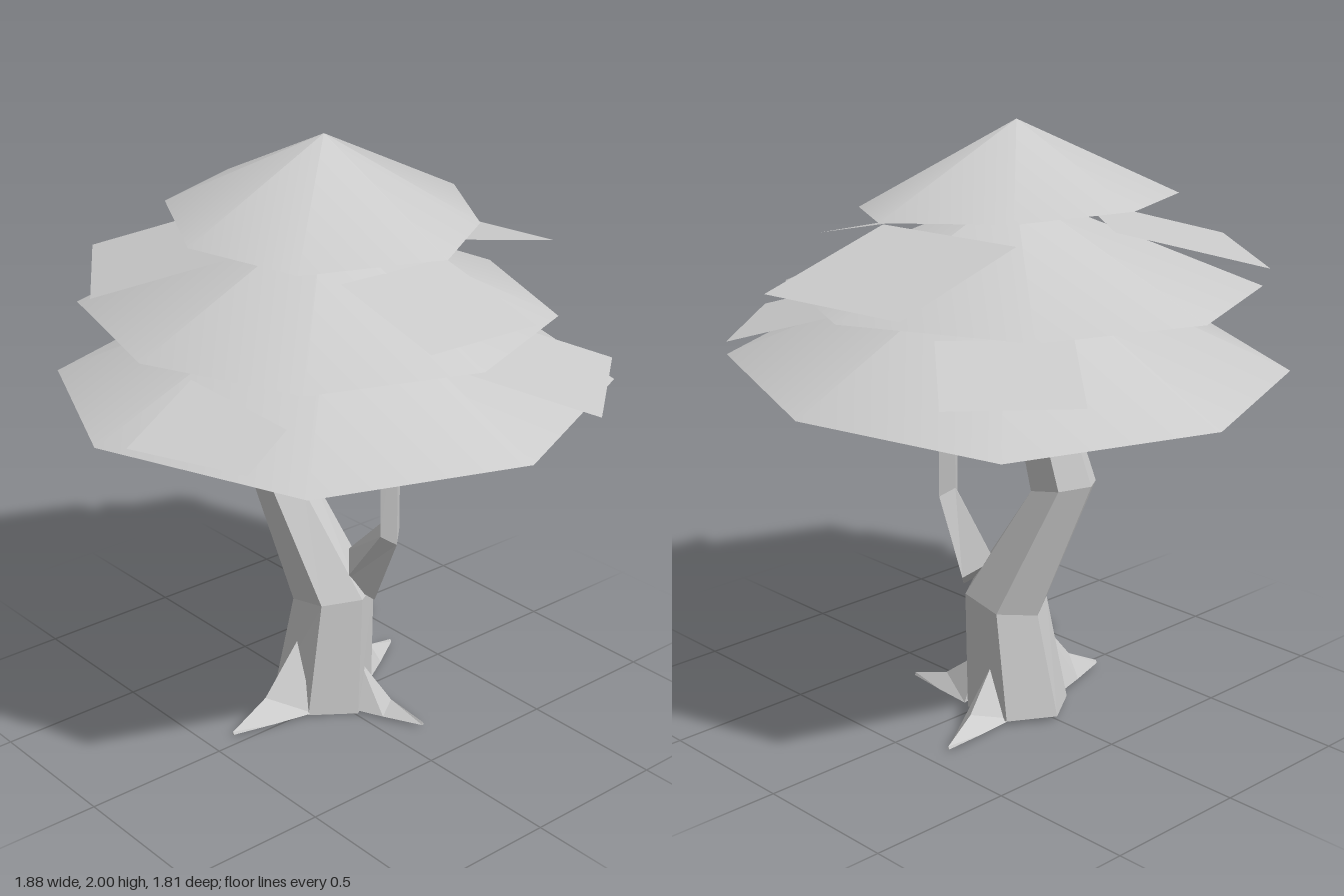
import * as THREE from 'three';

const bark = new THREE.MeshStandardMaterial({ color: 0xcccccc, flatShading: true, side: THREE.DoubleSide });
const leaf = new THREE.MeshStandardMaterial({ color: 0xcccccc, side: THREE.DoubleSide });

// Closed skin through a list of equal-length rings of [x, y, z] points
function loft(rings) {
  const n = rings[0].length, last = (rings.length - 1) * n, index = [];
  for (let j = 0; j < rings.length - 1; j++) {
    for (let i = 0; i < n; i++) {
      const a = j * n + i, b = j * n + (i + 1) % n;
      index.push(a, b, b + n, a, b + n, a + n);
    }
  }
  for (let i = 1; i < n - 1; i++) index.push(0, i + 1, i, last, last + i, last + i + 1);
  const g = new THREE.BufferGeometry();
  g.setAttribute('position', new THREE.Float32BufferAttribute(rings.flat(2), 3));
  g.setIndex(index);
  g.computeVertexNormals();
  return g;
}

// Regular ring around a centre; slope tilts it along x
function ring(sides, [x, y, z], rx, rz, slope = 0) {
  return Array.from({ length: sides }, (_, i) => {
    const a = (i / sides) * Math.PI * 2, dx = rx * Math.cos(a);
    return [x + dx, y + slope * dx, z - rz * Math.sin(a)];
  });
}

// Triangular buttress that tapers from the trunk to a tip on the ground
function root([x0, z0], [x1, z1], height) {
  const len = Math.hypot(x1 - x0, z1 - z0);
  const sx = (z1 - z0) / len, sz = -(x1 - x0) / len;
  const section = (t, w, h) => {
    const x = x0 + (x1 - x0) * t, z = z0 + (z1 - z0) * t;
    return [[x - sx * w, 0.01, z - sz * w], [x + sx * w, 0.01, z + sz * w], [x, h, z]];
  };
  return loft([section(0, 0.08, height), section(0.5, 0.045, height * 0.36), section(1, 0.004, 0.02)]);
}

// Open eight-sided cone whose rim follows the given [x, z] points on a tilted plane
function foliage(apex, rim, y, slope) {
  const g = new THREE.ConeGeometry(0.9, 0.38, 8, 1, true), p = g.attributes.position;
  for (let i = 0; i <= 8; i++) {
    const [x, z] = rim[i % 8];
    p.setXYZ(i, ...apex);
    p.setXYZ(i + 9, x, y + slope * x, z);
  }
  return g;
}

// Flat leaf sheet: outer edge a-b, rising inward towards the trunk
function sheet([ax, az], [bx, bz], yOuter, length, yInner) {
  const w = Math.hypot(bx - ax, bz - az);
  let nx = (bz - az) / w, nz = -(bx - ax) / w;
  if (nx * (ax + bx) + nz * (az + bz) > 0) { nx = -nx; nz = -nz; }
  const g = new THREE.PlaneGeometry(1, 1), p = g.attributes.position;
  p.setXYZ(0, ax + nx * length, yInner, az + nz * length);
  p.setXYZ(1, bx + nx * length, yInner, bz + nz * length);
  p.setXYZ(2, ax, yOuter, az);
  p.setXYZ(3, bx, yOuter, bz);
  g.computeVertexNormals();
  return g;
}

export function createModel() {
  const tree = new THREE.Group();
  tree.name = 'tree';
  const add = (name, geometry, material) => {
    const mesh = new THREE.Mesh(geometry, material);
    mesh.name = name;
    tree.add(mesh);
  };

  // Crooked trunk and the thin side branch
  add('trunk', loft([
    ring(6, [-0.07, 0.01, -0.01], 0.19, 0.165, -0.05),
    ring(6, [-0.04, 0.4, -0.035], 0.15, 0.135, 0.2),
    ring(6, [-0.225, 0.815, 0.045], 0.125, 0.1, -0.22),
    ring(6, [-0.07, 1.3, 0.02], 0.095, 0.07, -0.1),
  ]), bark);
  add('sideBranch', loft([
    ring(4, [0.035, 0.475, -0.09], 0.075, 0.075, -0.85),
    ring(4, [0.205, 0.705, -0.07], 0.035, 0.042, -0.85),
    ring(4, [0.205, 1.21, -0.07], 0.036, 0.042),
  ]), bark);

  // Roots
  add('frontRoot', root([-0.05, 0.12], [-0.04, 0.41], 0.26), bark);
  add('leftRoot', root([0.06, -0.07], [0.33, -0.12], 0.16), bark);
  add('backRoot', root([-0.08, -0.14], [-0.17, -0.42], 0.19), bark);

  // Foliage tiers, rims listed from the front round to the left
  add('lowerFoliage', foliage([0, 1.6, 0], [[-0.04, 0.9], [0.69, 0.68], [0.94, 0.04], [0.62, -0.66],
    [-0.06, -0.91], [-0.72, -0.71], [-0.94, -0.03], [-0.69, 0.61]], 1.207, 0.029), leaf);
  add('middleFoliage', foliage([-0.02, 1.77, 0.02], [[0.01, 0.76], [0.53, 0.56], [0.73, 0.04], [0.53, -0.48],
    [-0.02, -0.72], [-0.58, -0.44], [-0.78, 0.08], [-0.58, 0.59]], 1.455, 0.005), leaf);
  add('upperFoliage', foliage([-0.08, 2, -0.03], [[-0.06, 0.52], [0.3, 0.39], [0.45, -0.07], [0.27, -0.38],
    [-0.05, -0.57], [-0.44, -0.39], [-0.58, -0.03], [-0.44, 0.33]], 1.74, -0.068), leaf);

  // Loose leaf sheets resting on the tiers
  [
    [[-0.38, -0.78], [0.15, -0.85], 1.54, 0.53, 1.665],
    [[0.71, -0.19], [0.69, 0.22], 1.545, 0.42, 1.645],
    [[-0.75, 0.41], [-0.3, 0.72], 1.565, 0.49, 1.695],
    [[-0.51, -0.75], [-0.78, -0.43], 1.3, 0.39, 1.4],
    [[0.58, -0.69], [0.9, -0.29], 1.28, 0.43, 1.395],
    [[0.13, 0.9], [0.51, 0.75], 1.26, 0.4, 1.36],
  ].forEach((s, i) => add('leafSheet' + (i + 1), sheet(...s), leaf));

  return tree;
}
